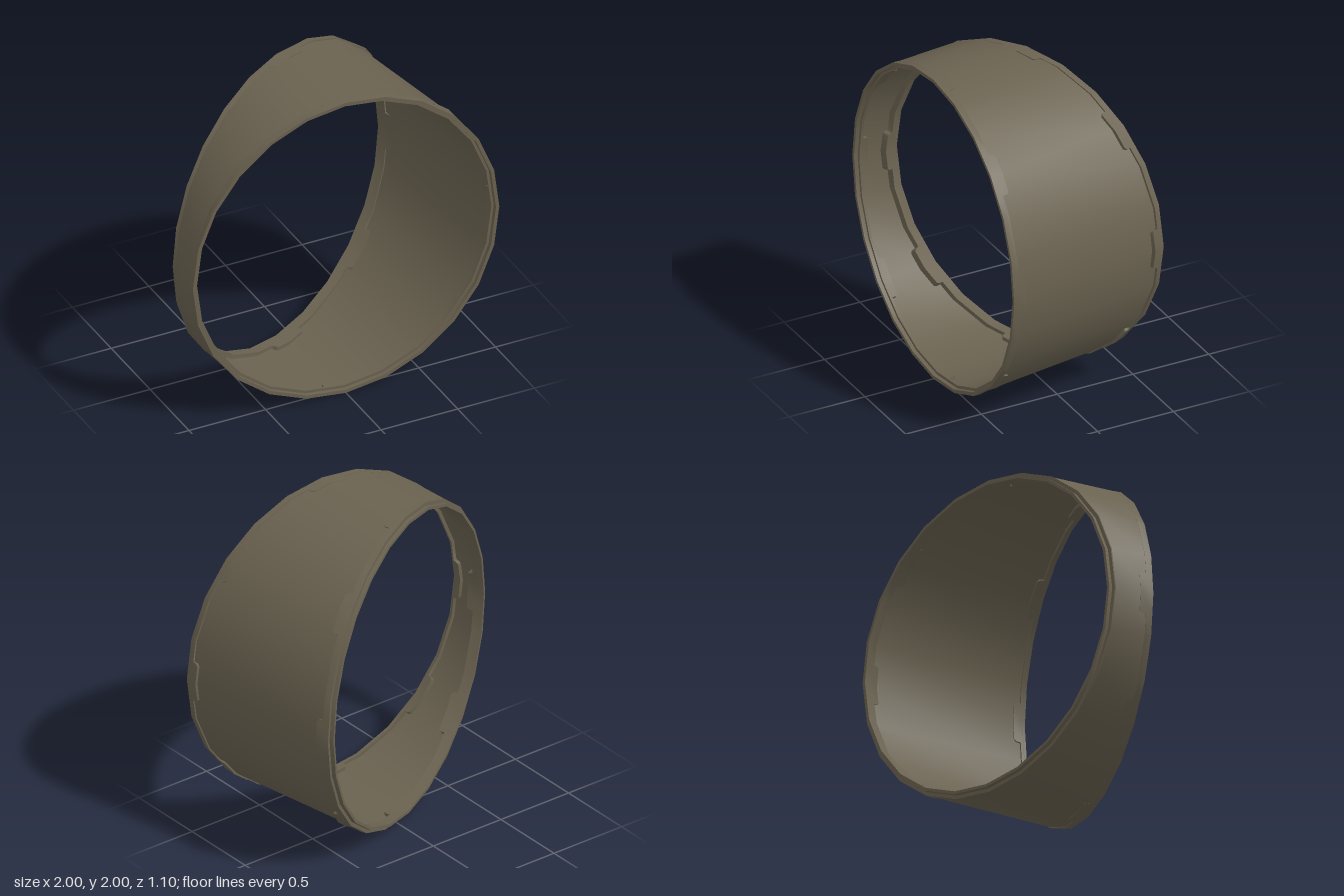
import * as THREE from 'three';

const SIDES = 24;
const TILT = THREE.MathUtils.degToRad(25);

// The two end planes: centre, sideways axis and outward normal
const ENDS = {
  front: {
    centre: new THREE.Vector3(0, 1, 0.55),
    side: new THREE.Vector3(1, 0, 0),
    normal: new THREE.Vector3(0, 0, 1),
  },
  back: {
    centre: new THREE.Vector3(-0.096, 1, -0.115),
    side: new THREE.Vector3(Math.cos(TILT), 0, -Math.sin(TILT)),
    normal: new THREE.Vector3(-Math.sin(TILT), 0, -Math.cos(TILT)),
  },
};

// Point on a 24-sided ring (k may be fractional), set in from the end plane by depth
function pointAt(end, k, r, depth) {
  const { centre, side, normal } = ENDS[end];
  const corner = (i) => {
    const a = (i / SIDES) * Math.PI * 2;
    const p = centre.clone().addScaledVector(side, Math.cos(a) * r);
    p.y += Math.sin(a) * r;
    return p;
  };
  const k0 = Math.floor(k);
  return corner(k0).lerp(corner(k0 + 1), k - k0).addScaledVector(normal, -depth);
}

// Closed strip between two rows of points, smooth around the ring
function strip(rowA, rowB, material, name) {
  const n = rowA.length, index = [];
  for (let i = 0; i < n; i++) {
    const j = (i + 1) % n;
    index.push(i, n + i, j, j, n + i, n + j);
  }
  const g = new THREE.BufferGeometry().setFromPoints([...rowA, ...rowB]);
  g.setIndex(index);
  g.computeVertexNormals();
  const mesh = new THREE.Mesh(g, material);
  mesh.name = name;
  return mesh;
}

export function createModel() {
  const model = new THREE.Group();
  model.name = 'angledPipeSection';
  const metal = new THREE.MeshStandardMaterial({ color: 0x6a6250 });
  metal.name = 'weathered olive metal';

  const OUT = 1, MID = 0.978, IN = 0.96, LIP = 0.025;

  // Thin wall between the two end rings
  const wall = new THREE.Group();
  wall.name = 'wall';
  const corners = Array.from({ length: SIDES }, (_, k) => k);
  const wallRow = (end, r) => corners.map((k) => pointAt(end, k, r, 0.003));
  wall.add(
    strip(wallRow('front', 0.997), wallRow('back', 0.997), metal, 'outerSkin'),
    strip(wallRow('back', 0.98), wallRow('front', 0.98), metal, 'innerSkin')
  );
  model.add(wall);

  // Ring outline: narrow band with eight rounded tabs, one every three sides
  const BAND = 0.04, TAB = 0.08;
  const outline = [];
  for (let t = 0; t < 8; t++) {
    const c = t * 3;
    outline.push(
      [c - 0.5, BAND], [c - 0.49, TAB - 0.014], [c - 0.44, TAB], [c, TAB],
      [c + 0.44, TAB], [c + 0.49, TAB - 0.014], [c + 0.5, BAND],
      [c + 1, BAND], [c + 2, BAND]
    );
  }

  // End ring, square to its own plane; its inner step is a socket or a projecting lip
  function endRing(end, step, name) {
    const group = new THREE.Group();
    group.name = name;
    const row = (r, depth) => outline.map(([k, d]) => pointAt(end, k, r, depth ?? d));
    const rows = [
      row(OUT, 0), row(OUT), row(IN), row(IN, step), row(MID, step), row(MID, 0),
    ];
    const parts = ['outerFace', 'tabEdge', 'innerFace', 'stepFace', 'stepSide', 'rim'];
    parts.forEach((part, i) => {
      const a = rows[i], b = rows[(i + 1) % rows.length];
      group.add(end === 'front' ? strip(a, b, metal, part) : strip(b, a, metal, part));
    });
    return group;
  }
  model.add(endRing('front', LIP, 'frontRing'), endRing('back', -LIP, 'backRing'));
  return model;
}
